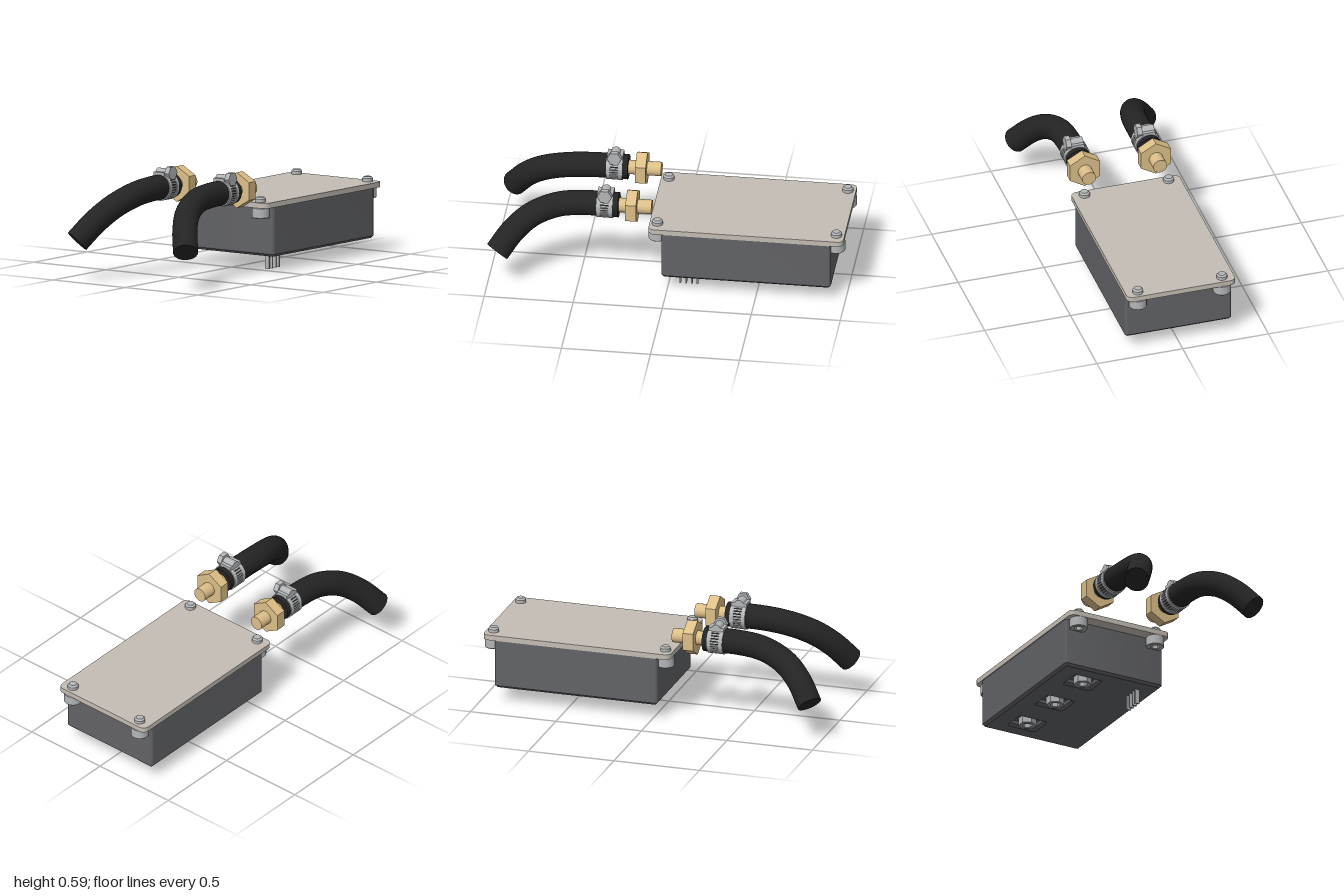
import * as THREE from 'three';
import { toCreasedNormals } from 'three/addons/utils/BufferGeometryUtils.js';

const mat = (color, extra = {}) => new THREE.MeshStandardMaterial({ color, ...extra });
const plateMat = mat(0xc4bdb4);
const bodyMat = mat(0x626367);
const steelMat = mat(0xb4b6b8);
const brassMat = mat(0xdcbf88);
const brassHexMat = mat(0xdcbf88, { flatShading: true });
const steelFlatMat = mat(0xb4b6b8, { flatShading: true });
const hoseMat = mat(0x242424, { side: THREE.DoubleSide });

function add(parent, name, geometry, material, x = 0, y = 0, z = 0) {
  const mesh = new THREE.Mesh(geometry, material);
  mesh.name = name;
  mesh.position.set(x, y, z);
  parent.add(mesh);
  return mesh;
}

// Rounded rectangle outline, added to a Shape or Path
function roundedRect(path, x0, y0, x1, y1, r) {
  path.moveTo(x0 + r, y0).lineTo(x1 - r, y0).absarc(x1 - r, y0 + r, r, -Math.PI / 2, 0);
  path.lineTo(x1, y1 - r).absarc(x1 - r, y1 - r, r, 0, Math.PI / 2);
  path.lineTo(x0 + r, y1).absarc(x0 + r, y1 - r, r, Math.PI / 2, Math.PI);
  path.lineTo(x0, y0 + r).absarc(x0 + r, y0 + r, r, Math.PI, Math.PI * 1.5);
  return path;
}

function hexPath(path, r) {
  const pts = [];
  for (let i = 0; i < 6; i++) {
    const a = i * Math.PI / 3;
    pts.push(new THREE.Vector2(r * Math.cos(a), r * Math.sin(a)));
  }
  return path.setFromPoints(pts);
}

// Extrude an outline upward from y0 to y1; the bevel stays inside the outline
function extrudeUp(shape, y0, y1, bevel = 0) {
  const geo = new THREE.ExtrudeGeometry(shape, {
    depth: y1 - y0 - 2 * bevel, bevelEnabled: bevel > 0, bevelSize: bevel,
    bevelThickness: bevel, bevelOffset: -bevel, bevelSegments: 1, curveSegments: 12,
  });
  geo.translate(0, 0, bevel).rotateX(-Math.PI / 2).translate(0, y0, 0);
  return toCreasedNormals(geo, 0.6);
}

// Cylinder lying along x
function rodX(r, x0, x1, sides = 32) {
  const geo = new THREE.CylinderGeometry(r, r, x1 - x0, sides, 1, false, Math.PI / 2);
  return geo.rotateZ(Math.PI / 2).translate((x0 + x1) / 2, 0, 0);
}

// Socket-head bolt hanging under the lid, with its tip above
function makeBolt() {
  const bolt = new THREE.Group();
  bolt.name = 'lidBolt';
  const head = new THREE.Shape().absarc(0, 0, 0.05, 0, Math.PI * 2);
  head.holes.push(hexPath(new THREE.Path(), 0.026));
  add(bolt, 'boltHead', extrudeUp(head, 0.305, 0.366, 0.004), steelMat);
  const profile = [[0, 0.335], [0.03, 0.335], [0.03, 0.413], [0.021, 0.423], [0, 0.423]];
  const shaft = new THREE.LatheGeometry(profile.map(p => new THREE.Vector2(...p)), 24);
  add(bolt, 'boltShaft', toCreasedNormals(shaft, 0.6), steelMat);
  return bolt;
}

// Worm-drive clamp around the x axis
function makeClamp() {
  const clamp = new THREE.Group();
  clamp.name = 'hoseClamp';
  for (const [a, b] of [[-0.4, -0.378], [-0.332, -0.31]]) {
    const profile = [[0.068, -b], [0.076, -b], [0.076, -a], [0.068, -a], [0.068, -b]];
    const ring = new THREE.LatheGeometry(profile.map(p => new THREE.Vector2(...p)), 48);
    add(clamp, 'clampEdge', toCreasedNormals(ring.rotateZ(Math.PI / 2), 0.6), steelMat);
  }
  // Cross bars leave slots between the two edges
  const bars = 30;
  for (let i = 0; i < bars; i++) {
    const bar = add(clamp, 'clampBar', new THREE.BoxGeometry(0.05, 0.007, 0.008)
      .translate(-0.355, 0.072, 0), steelMat);
    bar.rotation.x = i / bars * Math.PI * 2;
  }
  add(clamp, 'clampSaddle', new THREE.BoxGeometry(0.09, 0.022, 0.072), steelMat, -0.355, 0.074, -0.003);
  const housing = new THREE.CylinderGeometry(0.027, 0.027, 0.073, 20).rotateX(Math.PI / 2);
  add(clamp, 'screwHousing', housing, steelMat, -0.355, 0.076, -0.003);
  const screw = new THREE.CylinderGeometry(0.041, 0.041, 0.03, 6, 1, false, Math.PI / 2).rotateX(Math.PI / 2);
  add(clamp, 'screwHead', screw, steelFlatMat, -0.355, 0.08, 0.048);
  return clamp;
}

// Hose, clamp and brass fitting; side is the sign of z
function makeLine(side) {
  const line = new THREE.Group();
  line.name = side > 0 ? 'frontHoseLine' : 'backHoseLine';
  line.position.set(0, 0.477, 0.207 * side);
  add(line, 'fittingTube', rodX(0.04, -0.3, -0.095), brassMat);
  add(line, 'fittingHex', rodX(0.1, -0.235, -0.175, 6), brassHexMat);

  const curve = new THREE.CatmullRomCurve3([
    [-0.28, 0, 0], [-0.36, 0, 0], [-0.47, 0, 0], [-0.62, -0.017, 0.009],
    [-0.76, -0.069, 0.047], [-0.86, -0.148, 0.102], [-0.943, -0.255, 0.168],
  ].map(([x, y, z]) => new THREE.Vector3(x, y, z * side)));
  add(line, 'hose', new THREE.TubeGeometry(curve, 64, 0.07, 32), hoseMat);
  for (const t of [0, 1]) {
    const p = curve.getPointAt(t), d = curve.getTangentAt(t);
    const cap = add(line, 'hoseEnd', new THREE.CircleGeometry(0.07, 32), hoseMat, p.x, p.y, p.z);
    cap.quaternion.setFromUnitVectors(new THREE.Vector3(0, 0, 1), t ? d : d.negate());
  }
  line.add(makeClamp());
  return line;
}

export function createModel() {
  const model = new THREE.Group();
  model.name = 'enclosureWithHoses';

  // Lid
  const lid = roundedRect(new THREE.Shape(), -0.105, -0.316, 0.99, 0.316, 0.035);
  add(model, 'lid', extrudeUp(lid, 0.365, 0.395), plateMat);

  // Box: solid upper part and a lower slab pierced by three recesses
  const outline = () => roundedRect(new THREE.Shape(), -0.03, -0.31, 0.92, 0.31, 0.015);
  add(model, 'boxBody', extrudeUp(outline(), 0.12, 0.366), bodyMat);
  const slab = outline();
  const nutXs = [0.133, 0.443, 0.757];
  for (const x of nutXs) {
    slab.holes.push(roundedRect(new THREE.Path(), x - 0.06, 0.035, x + 0.06, 0.185, 0.004));
  }
  add(model, 'boxBottom', extrudeUp(slab, 0.085, 0.14, 0.014), bodyMat);

  // Hex nuts in the recesses
  for (const x of nutXs) {
    const nut = hexPath(new THREE.Shape(), 0.05);
    nut.holes.push(hexPath(new THREE.Path(), 0.028));
    add(model, 'bottomNut', extrudeUp(nut, 0.072, 0.122, 0.003), steelMat, x, 0, -0.11);
    add(model, 'nutCore', new THREE.CylinderGeometry(0.035, 0.035, 0.02, 16), steelMat, x, 0.112, -0.11);
  }

  // Connector pins
  for (let i = 0; i < 4; i++) {
    add(model, 'pin', new THREE.BoxGeometry(0.008, 0.1, 0.028), steelMat, 0.064 + 0.032 * i, 0.05, 0.2);
  }

  // Lid bolts
  for (const x of [-0.06, 0.945]) for (const z of [-0.245, 0.245]) {
    const bolt = makeBolt();
    bolt.position.set(x, 0, z);
    model.add(bolt);
  }

  model.add(makeLine(1), makeLine(-1));
  return model;
}
